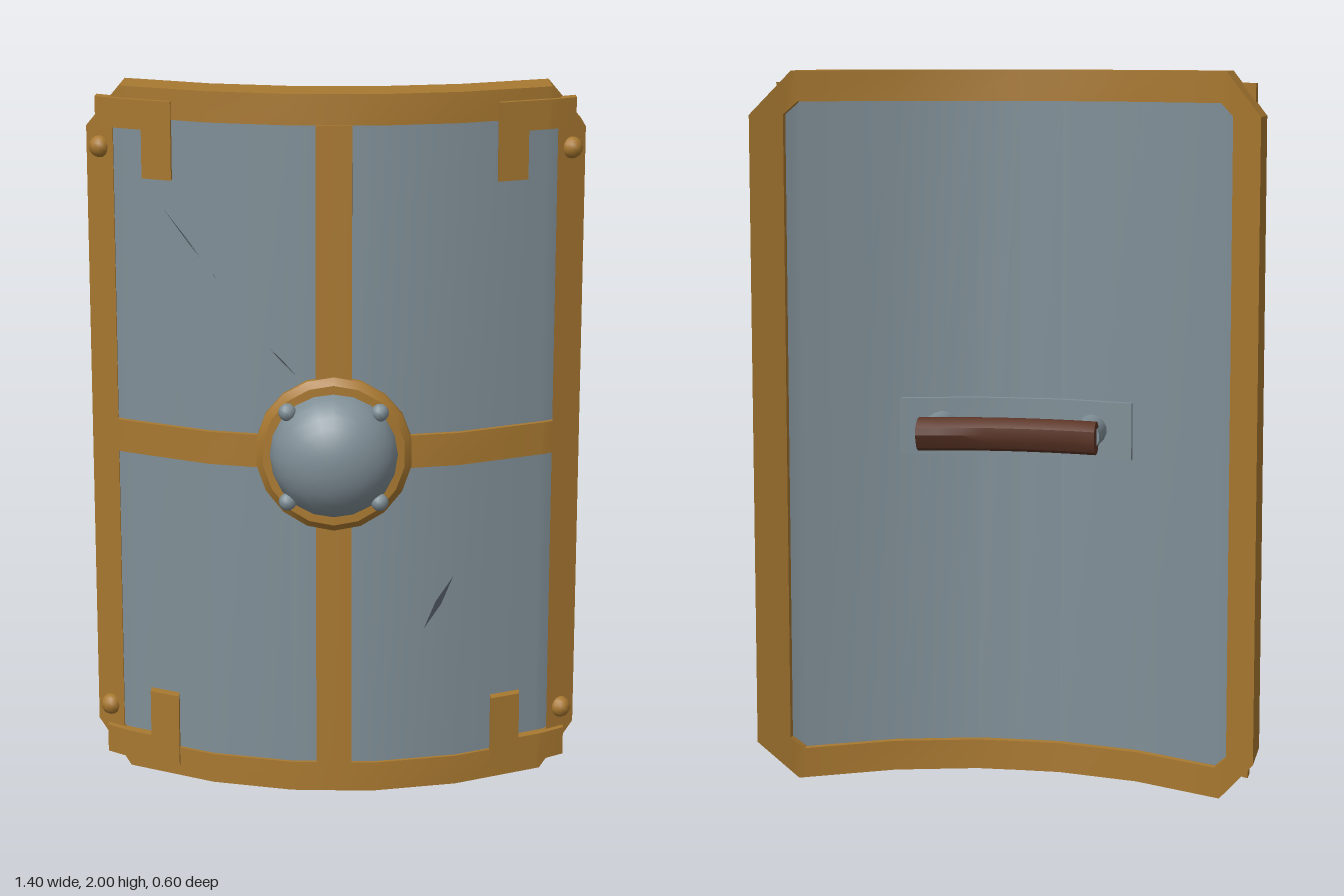
import * as THREE from 'three';
import { toCreasedNormals } from 'three/addons/utils/BufferGeometryUtils.js';

const mat = (name, color, extra = {}) => Object.assign(new THREE.MeshStandardMaterial({ color, ...extra }), { name });

// Front curve of the shield: half profile of [x, z], mirrored by |x|
const CURVE = [[0, 0.152], [0.12, 0.15], [0.35, 0.092], [0.6, -0.04], [0.7, -0.115]];
function curveZ(x) {
  const a = Math.abs(x);
  let i = 1;
  while (i < CURVE.length - 1 && a > CURVE[i][0]) i++;
  const [x0, z0] = CURVE[i - 1], [x1, z1] = CURVE[i];
  return z0 + (z1 - z0) * (a - x0) / (x1 - x0);
}

// Closed slab that follows the curve from x0 to x1; lo and hi give its edges in y
function slab(x0, x1, lo, hi, front, back) {
  const breaks = [0, 0.12, 0.35, 0.585, 0.6].flatMap(v => [-v, v]).filter(v => v > x0 + 1e-4 && v < x1 - 1e-4);
  const xs = [...new Set([x0, ...breaks, x1].map(v => v + 0))].sort((a, b) => a - b);
  const at = (f, x) => (typeof f === 'function' ? f(x) : f);
  const rings = xs.map(x => {
    const z = curveZ(x), l = at(lo, x), h = at(hi, x);
    return [[x, l, z + front], [x, h, z + front], [x, h, z + back], [x, l, z + back]];
  });
  const pos = [];
  const quad = (a, b, c, d) => pos.push(...a, ...b, ...c, ...a, ...c, ...d);
  for (let i = 0; i < rings.length - 1; i++) {
    for (let k = 0; k < 4; k++) {
      const n = (k + 1) % 4;
      quad(rings[i][k], rings[i + 1][k], rings[i + 1][n], rings[i][n]);
    }
  }
  const s = rings[0], e = rings[rings.length - 1];
  quad(s[0], s[1], s[2], s[3]);
  quad(e[3], e[2], e[1], e[0]);
  const g = new THREE.BufferGeometry();
  g.setAttribute('position', new THREE.Float32BufferAttribute(pos, 3));
  return toCreasedNormals(g, 0.5);
}

// Move every vertex by a rule
function warp(g, rule) {
  const p = g.attributes.position, v = new THREE.Vector3();
  for (let i = 0; i < p.count; i++) {
    rule(v.fromBufferAttribute(p, i));
    p.setXYZ(i, v.x, v.y, v.z);
  }
  return toCreasedNormals(g, 0.5);
}

export function createModel() {
  const steel = mat('steel', 0x7f8e96);
  const bronze = mat('bronze', 0xa87830);
  const wood = mat('darkWood', 0x5c3526);
  const scar = mat('darkScratch', 0x444c52, { side: THREE.DoubleSide });
  const model = new THREE.Group();
  model.name = 'towerShield';
  const add = (name, geo, material, parent = model) => {
    const m = new THREE.Mesh(geo, material);
    m.name = name;
    parent.add(m);
    return m;
  };

  // Frame with clipped outer and inner corners
  const top = x => 2 - Math.max(0, Math.abs(x) - 0.6) * 1.2;
  const innerTop = x => 1.915 - Math.max(0, Math.abs(x) - 0.585) * 1;
  const bottom = x => 2 - top(x), innerBottom = x => 2 - innerTop(x);
  const frame = new THREE.Group();
  frame.name = 'frame';
  model.add(frame);
  add('topRail', slab(-0.62, 0.62, innerTop, top, 0.002, -0.185), bronze, frame);
  add('bottomRail', slab(-0.62, 0.62, bottom, innerBottom, 0.002, -0.185), bronze, frame);
  add('leftStile', slab(0.62, 0.7, bottom, top, 0.002, -0.185), bronze, frame);
  add('rightStile', slab(-0.7, -0.62, bottom, top, 0.002, -0.185), bronze, frame);

  // Curved steel body and crossing bands
  add('panel', slab(-0.63, 0.63, 0.07, 1.93, -0.01, -0.16), steel);
  add('verticalBand', slab(-0.05, 0.05, 0.085, 1.915, 0.01, -0.03), bronze);
  add('horizontalBand', slab(-0.62, 0.62, 0.955, 1.048, 0.009, -0.03), bronze);

  // L-shaped corner brackets and their rivets
  for (const sx of [-1, 1]) {
    for (const up of [true, false]) {
      const bracket = new THREE.Group();
      bracket.name = 'cornerBracket';
      model.add(bracket);
      const piece = (name, a, b, l, h) => add(name,
        slab(sx > 0 ? a : -b, sx > 0 ? b : -a, up ? l : 2 - h, up ? h : 2 - l, 0.025, -0.03), bronze, bracket);
      piece('bracketArm', 0.535, 0.67, 1.885, 1.967);
      piece('bracketLeg', 0.45, 0.535, 1.75, 1.967);
      const rivet = add('frameRivet', new THREE.SphereGeometry(0.031, 12, 8), bronze, bracket);
      rivet.position.set(sx * 0.66, up ? 1.825 : 0.175, -0.083);
    }
  }

  // Boss: bevelled ring bent to the curve, dome and rivets
  const ringProfile = [[0.22, -0.05], [0.22, 0.012], [0.2, 0.03], [0.16, 0.03]].map(p => new THREE.Vector2(...p));
  const ring = new THREE.LatheGeometry(ringProfile, 18).rotateX(Math.PI / 2);
  add('bossRing', warp(ring, v => { v.z += 0.152 - 0.54 * v.x * v.x; v.y += 1; }), bronze);
  const dome = new THREE.SphereGeometry(0.18, 20, 8, 0, Math.PI * 2, 0, Math.PI / 2)
    .rotateX(Math.PI / 2).scale(1, 1, 0.8);
  add('bossDome', dome, steel).position.set(0, 1, 0.152);
  for (const sx of [-1, 1]) {
    for (const sy of [-1, 1]) {
      const r = add('bossRivet', new THREE.SphereGeometry(0.025, 10, 8), steel);
      r.position.set(sx * 0.128, 1 + sy * 0.128, 0.195);
    }
  }

  // Handle: curved backing plate, two posts and a bowed ridged grip
  const handle = new THREE.Group();
  handle.name = 'handle';
  model.add(handle);
  add('handlePlate', slab(-0.33, 0.33, 0.92, 1.08, -0.15, -0.182), steel, handle);
  for (const sx of [-1, 1]) {
    const post = add('handlePost', new THREE.CylinderGeometry(0.043, 0.043, 0.18, 14).rotateX(Math.PI / 2), steel, handle);
    post.position.set(sx * 0.215, 1, -0.115);
  }
  const grip = new THREE.CylinderGeometry(0.047, 0.047, 0.5, 14, 8).rotateZ(Math.PI / 2);
  warp(grip, () => {});
  add('grip', warp(grip, v => {
    const ridge = Math.cos(7 * Math.atan2(v.z, v.y)) > 0 ? 1.03 : 0.95;
    v.y = 1 + v.y * ridge;
    v.z = v.z * ridge - 0.177 - 0.5 * v.x * v.x;
  }), wood, handle);

  // Battle scratches: thin diamonds laid on the curved panel
  const scratch = (x0, y0, x1, y1, w) => {
    const len = Math.hypot(x1 - x0, y1 - y0), nx = -(y1 - y0) / len * w, ny = (x1 - x0) / len * w;
    const mx = (x0 + x1) / 2, my = (y0 + y1) / 2;
    const shape = new THREE.Shape([[x0, y0], [mx - nx, my - ny], [x1, y1], [mx + nx, my + ny]]
      .map(p => new THREE.Vector2(...p)));
    add('scratch', warp(new THREE.ShapeGeometry(shape), v => { v.z = curveZ(v.x) - 0.007; }), scar);
  };
  scratch(0.255, 0.475, 0.338, 0.625, 0.009);
  scratch(-0.18, 1.295, -0.105, 1.22, 0.003);
  scratch(-0.48, 1.67, -0.32, 1.475, 0.002);

  return model;
}
